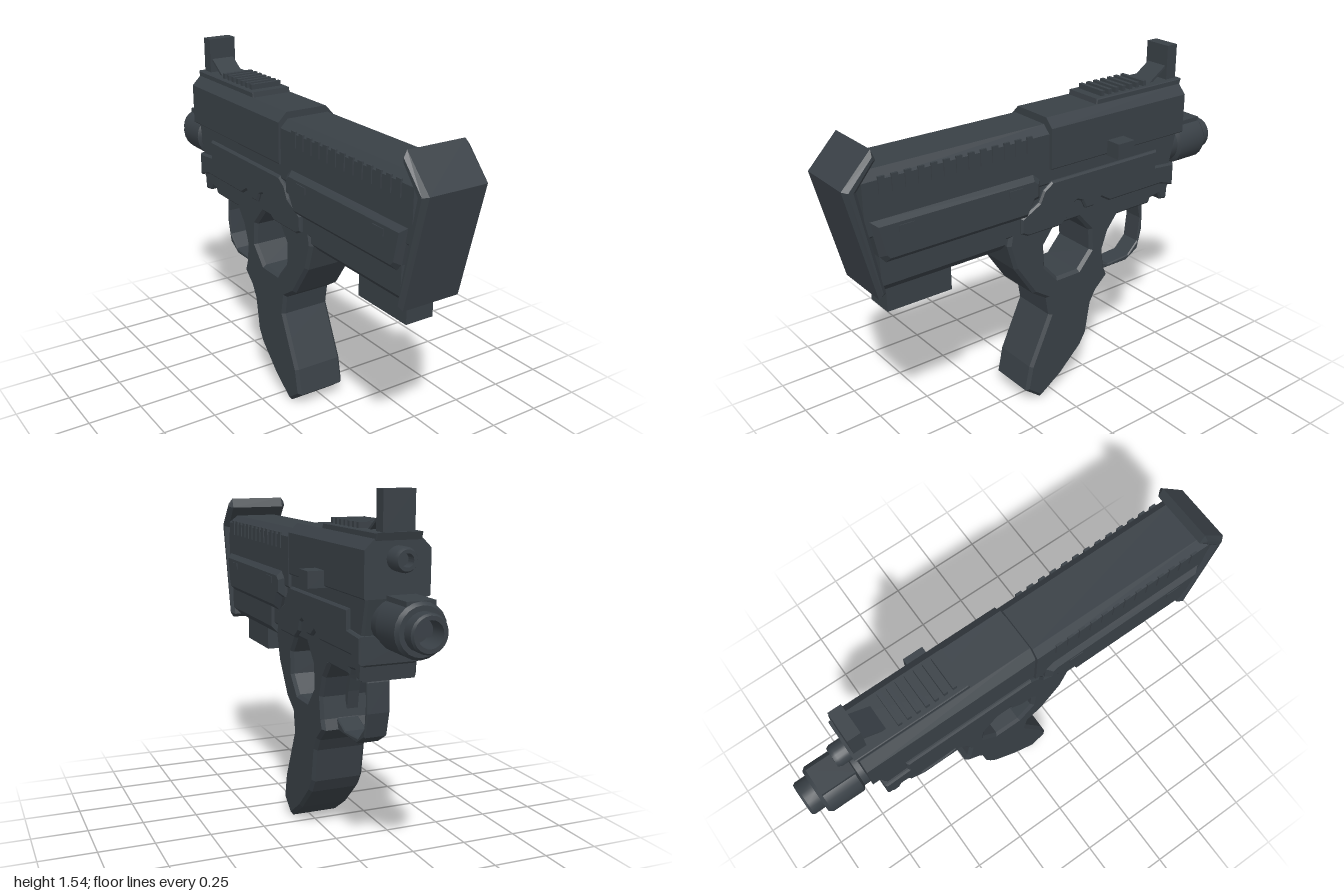
import * as THREE from 'three';
import { toCreasedNormals } from 'three/addons/utils/BufferGeometryUtils.js';

const CX = -0.03; // centre plane of the body

export function createModel() {
  const root = new THREE.Group();
  root.name = 'compactGun';
  const gunmetal = new THREE.MeshStandardMaterial({ color: 0x394046 });
  gunmetal.name = 'gunmetal';

  const add = (name, geo, parent = root) => {
    const mesh = new THREE.Mesh(geo, gunmetal);
    mesh.name = name;
    parent.add(mesh);
    return mesh;
  };
  const group = (name) => {
    const g = new THREE.Group();
    g.name = name;
    root.add(g);
    return g;
  };
  const toPoints = (pts) => pts.map(([a, b]) => new THREE.Vector2(a, b));

  // side profile in (z, y), extruded across x about the centre plane
  const side = (name, pts, width, bevel = 0, holes = [], parent = root) => {
    const shape = new THREE.Shape(toPoints(pts));
    holes.forEach((h) => shape.holes.push(new THREE.Path(toPoints(h))));
    const depth = width - 2 * bevel;
    const geo = new THREE.ExtrudeGeometry(shape, {
      depth, bevelEnabled: bevel > 0, bevelThickness: bevel,
      bevelSize: bevel, bevelOffset: -bevel, bevelSegments: 1,
    });
    geo.translate(0, 0, -depth / 2).rotateY(-Math.PI / 2).translate(CX, 0, 0);
    return add(name, geo, parent);
  };

  // box section with chamfered top (ct) and bottom (cb), running along z
  const section = (name, w, y0, y1, z0, z1, ct, cb) => {
    const h = w / 2;
    const shape = new THREE.Shape(toPoints([
      [-h + cb, y0], [h - cb, y0], [h, y0 + cb], [h, y1 - ct],
      [h - ct, y1], [-h + ct, y1], [-h, y1 - ct], [-h, y0 + cb],
    ]));
    const geo = new THREE.ExtrudeGeometry(shape, { depth: z1 - z0, bevelEnabled: false });
    return add(name, geo.translate(CX, 0, z0));
  };

  const box = (name, x0, x1, y0, y1, z0, z1, parent = root) => add(name,
    new THREE.BoxGeometry(x1 - x0, y1 - y0, z1 - z0)
      .translate((x0 + x1) / 2, (y0 + y1) / 2, (z0 + z1) / 2), parent);

  // turned part pointing to -z; points are [radius, distance along -z]
  const turned = (name, pts, y) => add(name, toCreasedNormals(
    new THREE.LatheGeometry(toPoints(pts), 20).rotateX(-Math.PI / 2), 0.6).translate(CX, y, 0));

  // butt plate with its raked top lip
  side('buttPlate', [[1, 1.295], [0.87, 1.43], [0.853, 1.385], [0.94, 1.28],
    [0.853, 0.835], [0.885, 0.815]], 0.3, 0.018);

  // rear body and upper receiver
  section('rearUpperBody', 0.27, 1.08, 1.342, 0.05, 0.92, 0.035, 0.01);
  section('rearLowerBody', 0.27, 0.83, 1.1, 0.28, 0.87, 0.005, 0.04);
  section('bodyJoint', 0.24, 1.0, 1.325, -0.05, 0.3, 0.035, 0.01);
  section('upperReceiver', 0.275, 1.145, 1.367, -0.74, 0.037, 0.04, 0.005);

  // comb of small ribs along both upper edges
  const ribs = group('sideRibs');
  for (let i = 0; i < 13; i++) {
    const z = 0.14 + i * 0.057;
    for (const s of [-1, 1]) {
      const x = CX + s * 0.135;
      box('rib', x - 0.005, x + 0.005, 1.25, 1.32, z, z + 0.028, ribs);
    }
  }

  // raised side panels with two slot plates each
  side('sidePanel', [[0.9, 1.15], [0.87, 0.995], [0.845, 0.965], [0.165, 0.965], [0.13, 1.03],
    [0.1, 1.035], [0.1, 1.12], [0.135, 1.15]], 0.315, 0.024);
  const slots = group('panelSlots');
  for (const s of [-1, 1]) {
    for (const z of [0.755, 0.24]) {
      const x = CX + s * 0.157;
      box('slotPlate', x - 0.004, x + 0.004, 1.085, 1.115, z - 0.033, z + 0.033, slots);
    }
  }

  // block below the rear body
  box('lowerBlock', -0.09, 0.04, 0.71, 0.85, 0.515, 0.82);

  // lower receiver core with front lug
  side('lowerReceiver', [[0.3, 1.15], [-0.725, 1.15], [-0.69, 1.0], [-0.7, 0.9], [-0.685, 0.88],
    [-0.68, 0.82], [-0.64, 0.825], [-0.625, 0.855], [-0.575, 0.85], [-0.565, 0.825],
    [-0.25, 0.825], [-0.12, 0.88], [0.3, 0.88]], 0.24, 0.01);
  side('receiverPlate', [[0.195, 0.96], [0.1, 1.01], [0.075, 1.06], [0.03, 1.09], [-0.585, 1.09],
    [-0.585, 1.01], [-0.7, 1.0], [-0.7, 0.89], [-0.62, 0.915], [-0.3, 0.915], [-0.25, 0.945],
    [-0.21, 0.915], [-0.16, 0.915], [-0.14, 0.955], [-0.11, 0.968], [-0.085, 0.955],
    [-0.07, 0.91], [-0.02, 0.872], [0.16, 0.872], [0.195, 0.89]], 0.27, 0.008);

  // grip with thumb hole
  side('grip', [[0.23, 0.96], [0.255, 0.84], [0.22, 0.72], [0.12, 0.57], [0.045, 0.52],
    [0.03, 0.43], [0.08, 0.32], [0.14, 0.19], [0.165, 0.07], [0.08, 0.003], [-0.04, 0.085],
    [-0.16, 0.2], [-0.195, 0.26], [-0.22, 0.41], [-0.25, 0.465], [-0.315, 0.525],
    [-0.297, 0.57], [-0.283, 0.665], [-0.315, 0.755], [-0.37, 0.825], [-0.37, 0.96]], 0.24, 0.014, [
    [[0, 0.87], [-0.13, 0.87], [-0.2, 0.79], [-0.205, 0.69], [-0.135, 0.61], [-0.015, 0.61],
      [0.055, 0.69], [0.06, 0.79]]]);

  // trigger guard and trigger
  side('triggerGuard', [[-0.25, 0.52], [-0.5, 0.518], [-0.57, 0.56], [-0.595, 0.665],
    [-0.59, 0.79], [-0.565, 0.86], [-0.54, 0.86], [-0.56, 0.81], [-0.58, 0.72], [-0.567, 0.6],
    [-0.51, 0.543], [-0.38, 0.535], [-0.3, 0.57], [-0.26, 0.6]], 0.1, 0.005);
  side('trigger', [[-0.33, 0.84], [-0.44, 0.84], [-0.44, 0.765], [-0.378, 0.765], [-0.358, 0.7],
    [-0.345, 0.622], [-0.33, 0.655], [-0.335, 0.72], [-0.362, 0.77]], 0.05);

  // barrel with hollow muzzle, and the small rod above it
  turned('barrel', [[0, 0.6], [0.09, 0.6], [0.09, 0.765], [0.107, 0.775], [0.107, 0.925],
    [0.095, 0.94], [0.075, 0.94], [0.075, 0.99], [0.068, 1], [0.052, 1], [0.048, 0.9], [0, 0.9]], 1.055);
  box('barrelRib', CX - 0.06, CX + 0.06, 1.03, 1.163, -0.925, -0.77);
  turned('guideRod', [[0, 0.7], [0.048, 0.7], [0.048, 0.8], [0.04, 0.815], [0.026, 0.815],
    [0.026, 0.77], [0, 0.77]], 1.293);

  // top rail with cross teeth
  side('railBase', [[-0.24, 1.36], [-0.245, 1.39], [-0.755, 1.39], [-0.745, 1.36]], 0.19, 0.004);
  const rail = group('railTeeth');
  for (let i = 0; i < 7; i++) {
    const z = -0.295 - i * 0.041;
    box('tooth', CX - 0.075, CX + 0.075, 1.385, 1.413, z - 0.009, z + 0.009, rail);
  }

  // sight post and its thin brace
  box('sightPost', CX - 0.066, CX + 0.066, 1.385, 1.545, -0.743, -0.686);
  side('sightBrace', [[-0.59, 1.388], [-0.69, 1.455], [-0.69, 1.443], [-0.61, 1.388]], 0.11);

  // charging handle on the left side
  box('chargingHandle', 0.08, 0.18, 1.14, 1.21, -0.365, -0.272);

  return root;
}
